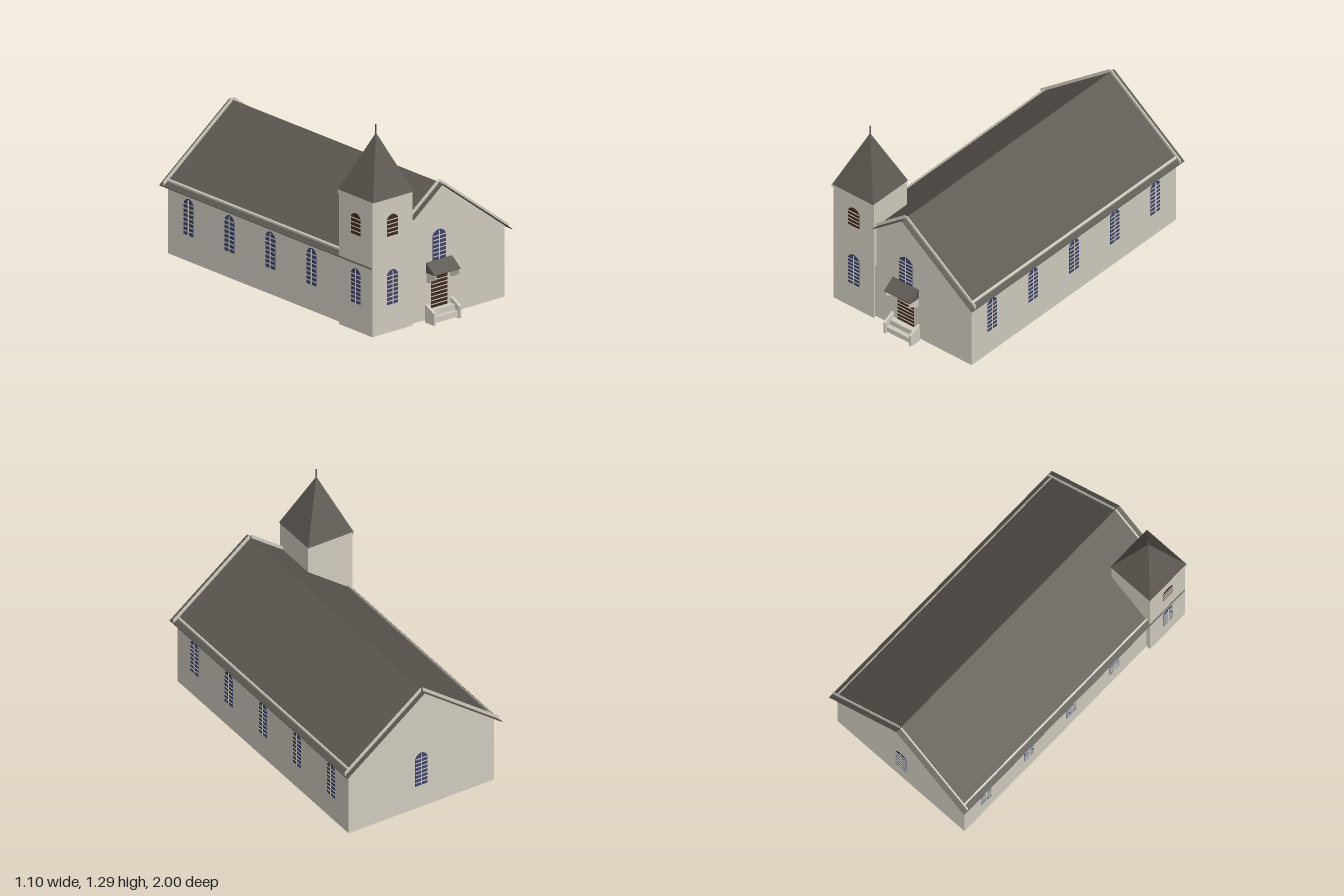
import * as THREE from 'three';

const material = (name, color) => {
  const m = new THREE.MeshStandardMaterial({ color });
  m.name = name;
  return m;
};

export function createModel() {
  const wallMat = material('cream wall', 0xd0ccc0);
  const roofMat = material('dark shingle', 0x5d5952);
  const glassMat = material('blue glass', 0x40446a);
  const woodMat = material('brown wood', 0x402a1f);
  const root = new THREE.Group();
  root.name = 'church';

  const add = (name, geometry, mat, parent = root) => {
    const mesh = new THREE.Mesh(geometry, mat);
    mesh.name = name;
    parent.add(mesh);
    return mesh;
  };
  // Box given by its limits on each axis
  const box = (name, x0, x1, y0, y1, z0, z1, mat, parent = root) => {
    const g = new THREE.BoxGeometry(x1 - x0, y1 - y0, z1 - z0);
    g.translate((x0 + x1) / 2, (y0 + y1) / 2, (z0 + z1) / 2);
    return add(name, g, mat, parent);
  };
  const polygon = (pts) => new THREE.Shape(pts.map(([x, y]) => new THREE.Vector2(x, y)));
  // Outline in x,y swept from z0 to z1
  const sweepZ = (name, shape, z0, z1, mat, parent = root) => {
    const g = new THREE.ExtrudeGeometry(shape, { depth: z1 - z0, bevelEnabled: false, curveSegments: 6 });
    g.translate(0, 0, z0);
    return add(name, g, mat, parent);
  };
  // Outline in z,y swept from x0 to x1
  const sweepX = (name, pts, x0, x1, mat) => {
    const g = new THREE.ExtrudeGeometry(polygon(pts), { depth: x1 - x0, bevelEnabled: false });
    g.rotateY(-Math.PI / 2);
    g.translate(x1, 0, 0);
    return add(name, g, mat);
  };

  // Nave shell, open underneath
  const W = 0.515, FRONT = 0.92, BACK = -0.96, BASE = 0.015, T = 0.01;
  const gable = polygon([[-W, BASE], [W, BASE], [W, 0.468], [0, 0.86], [-W, 0.468]]);
  sweepZ('frontWall', gable, FRONT - T, FRONT, wallMat);
  sweepZ('backWall', gable, BACK, BACK + T, wallMat);
  box('leftWall', W - T, W, BASE, 0.467, BACK + T, FRONT - T, wallMat);
  box('rightWall', -W, T - W, BASE, 0.467, BACK + T, FRONT - T, wallMat);

  // Roof slopes and the strips lying on them
  const roofY = (x) => 0.865 - 0.76 * Math.abs(x);
  const slope = (name, x0, x1, z0, z1, low, high, mat) => sweepZ(name, polygon([
    [x0, roofY(x0) + low], [x1, roofY(x1) + low],
    [x1, roofY(x1) + high], [x0, roofY(x0) + high],
  ]), z0, z1, mat);
  slope('leftRoof', 0, 0.548, -1, 0.957, -0.004, 0, roofMat);
  slope('rightRoof', -0.228, 0, -1, 0.957, -0.004, 0, roofMat);
  slope('rightRoofEave', -0.55, -0.228, -1, 0.94, -0.004, 0, roofMat);
  for (const s of [-1, 1]) {
    for (const z of [FRONT, -0.966]) {
      slope('gableTrim', s * 0.006, s * 0.547, z - 0.004, z + 0.004, 0, 0.022, wallMat);
    }
    slope('eaveTrim', s * 0.511, s * 0.519, -0.966, FRONT, 0, 0.012, wallMat);
  }

  // Tower: lower skin outside the nave, upper walls rising through the roof
  const TX0 = -0.544, TX1 = -0.228, TZ0 = 0.64, TZ1 = 0.944, TOP = 0.868;
  box('towerFront', TX0, TX1, BASE, TOP, TZ1 - T, TZ1, wallMat);
  box('towerRightSide', TX0, TX0 + T, BASE, TOP, TZ0, TZ1 - T, wallMat);
  box('towerBackReturn', TX0 + T, -W, BASE, 0.43, TZ0, TZ0 + T, wallMat);
  box('towerBack', TX0 + T, TX1, 0.43, TOP, TZ0, TZ0 + T, wallMat);
  box('towerLeftSide', TX1 - T, TX1, 0.4, TOP, TZ0 + T, TZ1 - T, wallMat);
  box('towerTrim', -0.552, TX0, 0.848, TOP, 0.634, 0.954, wallMat);

  // Four-sided spire with a finial
  const spire = new THREE.ConeGeometry(0.161 * Math.SQRT2, 0.368, 4).toNonIndexed();
  spire.rotateY(Math.PI / 4);
  spire.computeVertexNormals();
  add('spire', spire, roofMat).position.set(-0.387, 1.052, 0.794);
  box('finial', -0.39, -0.384, 1.22, 1.29, 0.791, 0.797, roofMat);

  // Arched opening with bars, facing +z, its sill at the local origin
  const opening = (name, w, h, rise, mat, { mullion = true } = {}) => {
    const g = new THREE.Group();
    g.name = name;
    const a = w / 2, spring = h - rise;
    const s = new THREE.Shape();
    s.moveTo(-a, 0);
    s.lineTo(a, 0);
    s.lineTo(a, spring);
    if (rise > 0) {
      s.quadraticCurveTo(a * 0.8, h - rise * 0.15, 0, h);
      s.quadraticCurveTo(-a * 0.8, h - rise * 0.15, -a, spring);
    } else {
      s.lineTo(-a, h);
    }
    sweepZ('pane', s, -0.013, 0.003, mat, g);
    const rows = Math.round(spring / 0.027);
    for (let i = 1; i <= rows; i++) {
      const y = (spring * i) / rows - 0.003;
      box('bar', -a, a, y - 0.0025, y + 0.0025, 0.003, 0.006, wallMat, g);
    }
    if (mullion) box('mullion', -0.003, 0.003, 0, h - 0.008, 0.003, 0.006, wallMat, g);
    root.add(g);
    return g;
  };
  const place = (g, x, y, z, turn = 0) => {
    g.position.set(x, y, z);
    g.rotation.y = turn;
  };
  const sideWindow = () => opening('window', 0.086, 0.233, 0.035, glassMat);
  const louver = () => opening('belfryLouver', 0.086, 0.136, 0.03, woodMat, { mullion: false });
  const Q = Math.PI / 2;

  // Windows along both sides and at the back
  for (const z of [0.733, 0.356, -0.021, -0.396, -0.77]) {
    place(sideWindow(), W, 0.18, z, Q);
    place(sideWindow(), -W, 0.18, z, -Q);
  }
  place(sideWindow(), 0, 0.175, BACK, Math.PI);

  // Front and tower openings
  place(opening('frontWindow', 0.102, 0.191, 0.035, glassMat), 0, 0.377, FRONT);
  place(opening('door', 0.128, 0.203, 0, woodMat, { mullion: false }), 0, 0.08, FRONT);
  place(opening('towerWindow', 0.086, 0.22, 0.035, glassMat), -0.387, 0.192, TZ1);
  place(opening('towerWindow', 0.086, 0.22, 0.035, glassMat), TX0, 0.192, 0.794, -Q);
  place(louver(), -0.387, 0.626, TZ1);
  place(louver(), TX0, 0.626, 0.794, -Q);

  // Door canopy on side brackets
  sweepX('canopyRoof', [[FRONT, 0.313], [1, 0.313], [1, 0.318], [FRONT, 0.377]], -0.102, 0.102, roofMat);
  for (const x of [-0.092, 0.092]) {
    sweepX('canopyBracket', [[FRONT, 0.25], [0.935, 0.25], [1, 0.285], [1, 0.313], [FRONT, 0.313]],
      x - 0.005, x + 0.005, wallMat);
  }

  // Entrance steps between sloping side walls
  box('landing', -0.09, 0.09, 0.01, 0.08, FRONT, 0.96, wallMat);
  box('lowerStep', -0.09, 0.09, 0.01, 0.045, 0.96, 0.99, wallMat);
  for (const x of [-0.1, 0.1]) {
    sweepX('stepSideWall', [[FRONT, 0], [1, 0], [1, 0.075], [FRONT, 0.116]], x - 0.009, x + 0.009, wallMat);
  }
  return root;
}
